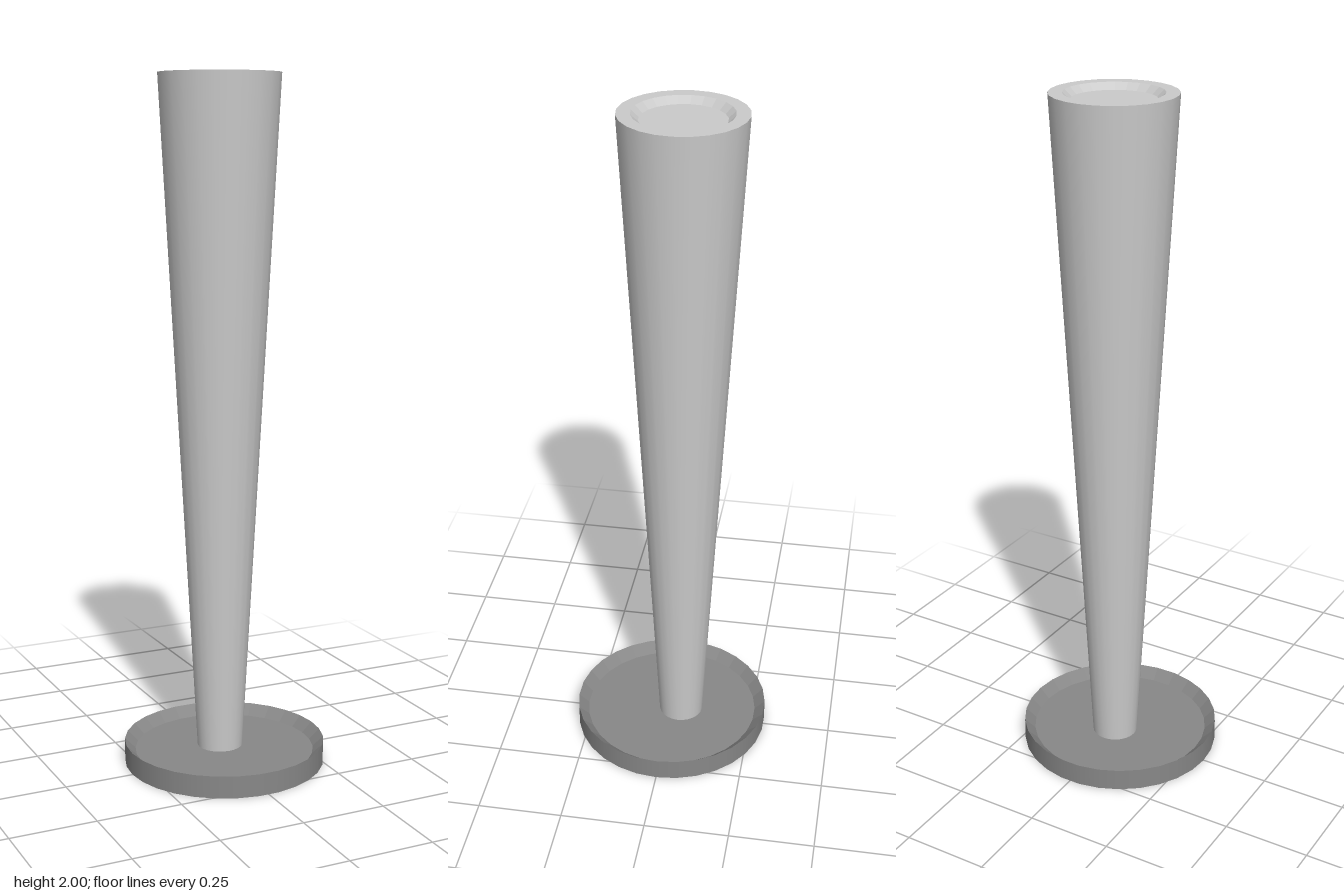
import * as THREE from 'three';

// Turned part: each pair of neighbouring profile points is its own band, so the edges between bands stay sharp.
function turned(name, profile, sides, color, flatBands) {
  const part = new THREE.Group();
  part.name = name;
  for (let i = 0; i < profile.length - 1; i++) {
    const points = [profile[i], profile[i + 1]].map(([r, y]) => new THREE.Vector2(r, y));
    const band = new THREE.Mesh(
      new THREE.LatheGeometry(points, sides),
      new THREE.MeshStandardMaterial({ color, flatShading: flatBands.includes(i) })
    );
    band.name = `${name}Band${i + 1}`;
    part.add(band);
  }
  part.rotation.y = Math.PI / 2;
  return part;
}

export function createModel() {
  const model = new THREE.Group();
  model.name = 'taperedColumnOnDish';

  // Shallow dish: underside, wall, sloping rim, floor
  model.add(turned('dish',
    [[0, 0], [0.295, 0], [0.295, 0.065], [0.264, 0.035], [0, 0.035]],
    30, 0x888888, [2]));

  // Tapered column, set slightly back: underside, wall, top ring, sloping step, recessed disc
  const column = turned('column',
    [[0, 0.035], [0.067, 0.035], [0.174, 2], [0.136, 2], [0.116, 1.982], [0, 1.982]],
    24, 0xcccccc, [3]);
  column.position.z = -0.03;
  model.add(column);

  return model;
}
